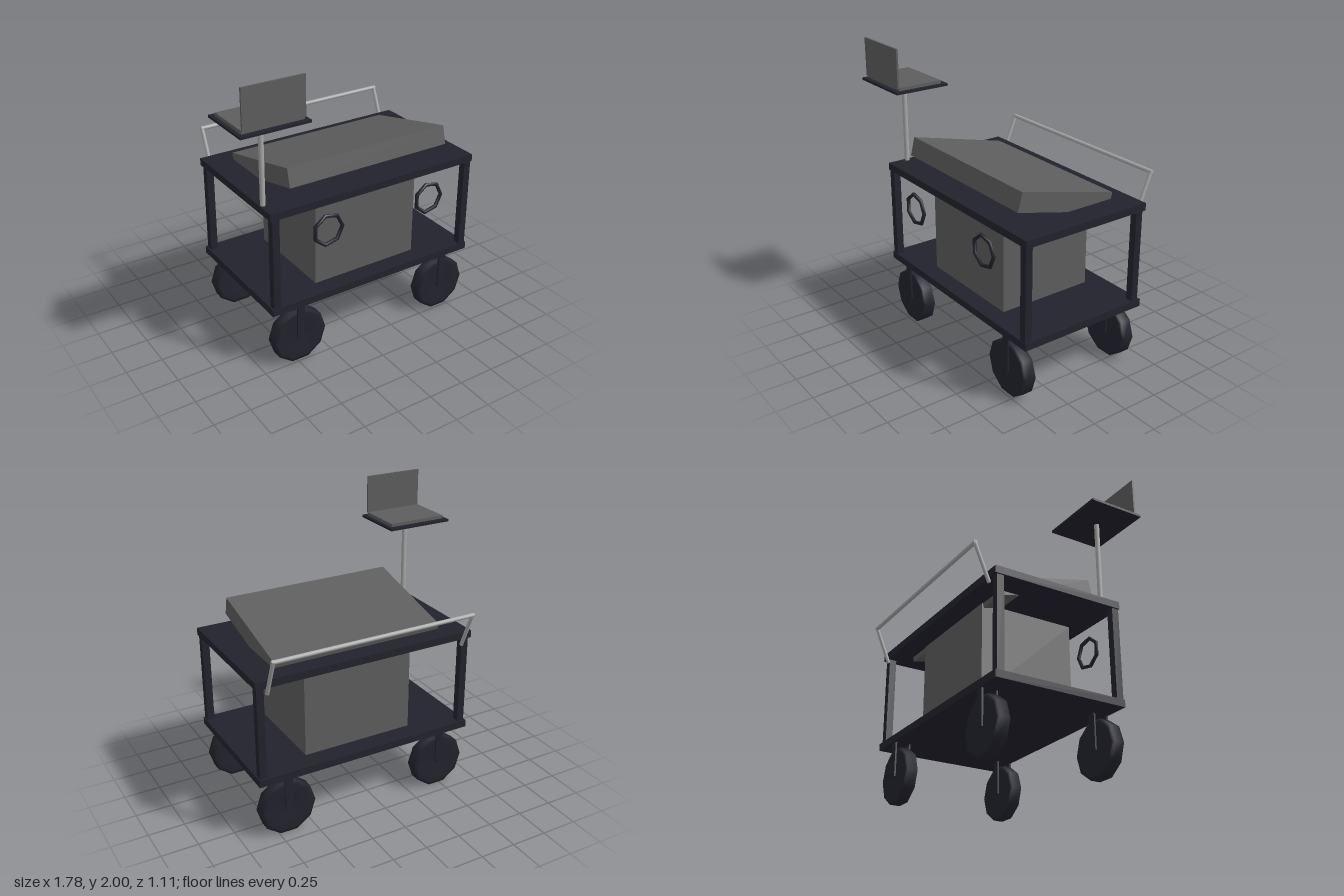
import * as THREE from 'three';

export function createModel() {
  const group = new THREE.Group();
  const mat = (name, color) => {
    const m = new THREE.MeshStandardMaterial({ color });
    m.name = name;
    return m;
  };
  const frame = mat('dark frame', 0x22222d);
  const casing = mat('grey casing', 0x5d5d5d);
  const metal = mat('bare metal', 0xa8a8a8);

  const add = (name, geo, material, x = 0, y = 0, z = 0) => {
    const mesh = new THREE.Mesh(geo, material);
    mesh.name = name;
    mesh.position.set(x, y, z);
    group.add(mesh);
    return mesh;
  };
  // Box given by its extents on each axis
  const box = (name, material, [x0, x1], [y0, y1], [z0, z1]) =>
    add(name, new THREE.BoxGeometry(x1 - x0, y1 - y0, z1 - z0), material,
      (x0 + x1) / 2, (y0 + y1) / 2, (z0 + z1) / 2);
  // Round rod between two points
  const rod = (name, a, b, r) => {
    const from = new THREE.Vector3(...a), to = new THREE.Vector3(...b);
    const dir = to.clone().sub(from);
    const mesh = add(name, new THREE.CylinderGeometry(r, r, dir.length(), 12), metal);
    mesh.position.copy(from).add(to).multiplyScalar(0.5);
    mesh.quaternion.setFromUnitVectors(new THREE.Vector3(0, 1, 0), dir.normalize());
  };

  // Shelves and corner posts
  box('lowerShelf', frame, [-0.683, 0.887], [0.415, 0.465], [-0.44, 0.5]);
  box('upperShelf', frame, [-0.683, 0.887], [1.097, 1.147], [-0.44, 0.5]);
  for (const x of [-0.647, 0.852])
    for (const z of [-0.398, 0.472])
      box('cornerPost', frame, [x - 0.025, x + 0.025], [0.46, 1.1], [z - 0.025, z + 0.025]);

  // Cabinet and tilted unit on top
  box('cabinet', casing, [-0.29, 0.497], [0.465, 1.097], [-0.303, 0.377]);
  const unit = add('tiltedUnit', new THREE.BoxGeometry(1.208, 0.128, 0.735), casing, 0.102, 1.215, 0.053);
  unit.rotation.x = -0.241;

  // Wheels with dished sides, each held by a two-plate fork
  const profile = [[0, -0.028], [0.05, -0.03], [0.1, -0.039], [0.17, -0.041], [0.195, -0.036],
    [0.195, 0.036], [0.17, 0.041], [0.1, 0.039], [0.05, 0.03], [0, 0.028]]
    .map(p => new THREE.Vector2(...p));
  const wheelGeo = new THREE.LatheGeometry(profile, 10, Math.PI / 2).rotateX(Math.PI / 2);
  for (const x of [-0.477, 0.68])
    for (const z of [0.445, -0.37]) {
      add('wheel', wheelGeo, frame, x, 0.186, z);
      for (const s of [-1, 1]) {
        const c = z + s * 0.05;
        box('forkPlate', frame, [x - 0.027, x + 0.027], [0.175, 0.42], [c - 0.006, c + 0.006]);
      }
    }

  // Cable rings at the front
  for (const x of [-0.29, 0.498])
    add('cableRing', new THREE.TorusGeometry(0.105, 0.013, 8, 7), frame, x, 0.94, 0.528);

  // Push handle at the back
  const ends = [-0.607, 0.812];
  for (const x of ends) rod('handleArm', [x, 1.06, -0.44], [x, 1.318, -0.546], 0.013);
  rod('handleBar', [ends[0] - 0.01, 1.31, -0.543], [ends[1] + 0.01, 1.31, -0.543], 0.014);

  // Pole, tray and open laptop
  rod('pole', [-0.66, 1.12, 0.366], [-0.66, 1.708, 0.366], 0.017);
  box('tray', frame, [-0.893, -0.424], [1.704, 1.72], [0.165, 0.556]);
  box('laptopBase', casing, [-0.868, -0.45], [1.72, 1.742], [0.203, 0.522]);
  box('laptopScreen', casing, [-0.868, -0.45], [1.738, 2.0], [0.522, 0.535]);

  return group;
}
